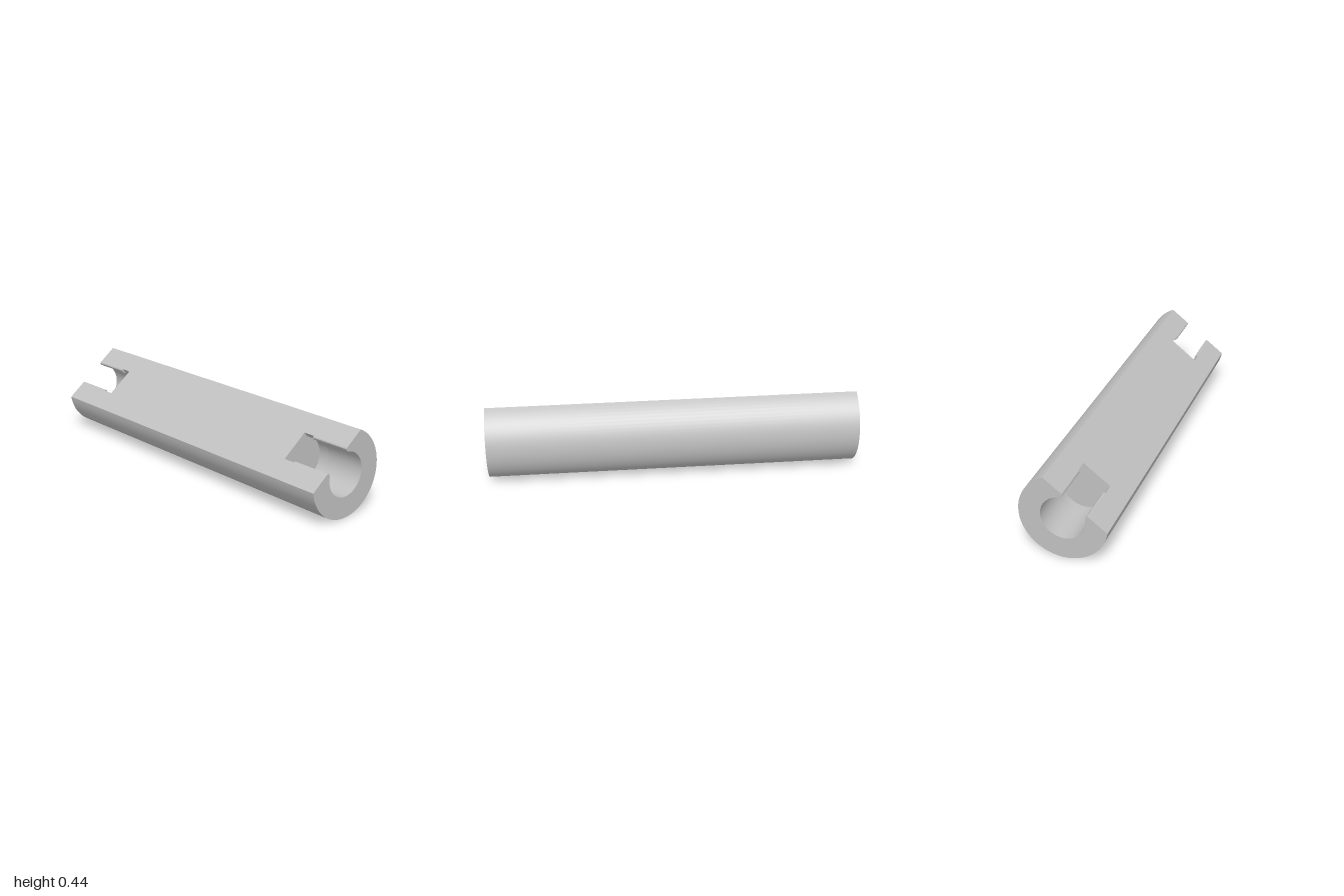
import * as THREE from 'three';
import { toCreasedNormals } from 'three/addons/utils/BufferGeometryUtils.js';

const R = 0.231, FLAT = 0.1095;               // shaft radius, height of the milled flat
const HALF = Math.sqrt(R * R - FLAT * FLAT);  // half width of the flat
const STEP = 0.78, FLOOR = 0.717;             // groove start and pocket end along x
const LIP = 0.083, GROOVE = 0.087;            // half widths of the slot

// Points [z, y] round the underside, from angle a to its mirror image
function arc(r, a, n) {
  return Array.from({ length: n + 1 }, (_, i) => {
    const t = a + (2 * Math.PI - 2 * a) * i / n;
    return [r * Math.sin(t), r * Math.cos(t)];
  });
}

// Adds mirrored edge points at both ends of an arc
function withEdges(edge, points) {
  return [...edge, ...points, ...edge.map(([z, y]) => [-z, y]).reverse()];
}

// Sweeps a profile along x as an open wall
function wall(points, x0, x1) {
  const pos = [], index = [];
  points.forEach(([z, y], i) => {
    pos.push(x0, y, z, x1, y, z);
    if (i) {
      const k = 2 * i - 2;
      index.push(k, k + 1, k + 3, k, k + 3, k + 2);
    }
  });
  const g = new THREE.BufferGeometry();
  g.setAttribute('position', new THREE.Float32BufferAttribute(pos, 3));
  g.setIndex(index);
  return toCreasedNormals(g, 0.6);
}

function plate(points) {
  return new THREE.ShapeGeometry(new THREE.Shape(points.map(p => new THREE.Vector2(p[0], p[1]))));
}

// Flat cross-section at x, facing +x (dir 1) or -x (dir -1)
function section(points, x, dir) {
  return plate(points).rotateY(dir * Math.PI / 2).translate(x, 0, 0);
}

export function createModel() {
  const model = new THREE.Group();
  const steel = new THREE.MeshStandardMaterial({ color: 0xc0c0c0, side: THREE.DoubleSide });
  steel.name = 'grey steel';
  const add = (parent, name, geometry) => {
    const mesh = new THREE.Mesh(geometry, steel);
    mesh.name = name;
    parent.add(mesh);
  };

  const outer = arc(R, Math.acos(FLAT / R), 48);
  const lip = [[LIP, FLAT], [0.0775, 0.106], [0.0755, 0.1], [0.0762, 0.092], [0.079, 0.0868]];
  const bore = withEdges(lip, arc(0.1165, Math.atan2(0.081, 0.0837), 40));
  const groove = withEdges([[GROOVE, FLAT]], arc(0.119, Math.asin(GROOVE / 0.119), 40));

  // Shaft tilted so its flat leans towards the front
  const shaft = new THREE.Group();
  shaft.name = 'shaft';
  shaft.position.set(0, 0.231, 0.001);
  shaft.rotation.x = 0.651;
  model.add(shaft);

  add(shaft, 'roundSurface', wall(outer, 1, -1));

  // Milled flat with a stepped notch at each end
  const notch = [[1, LIP], [STEP, LIP], [STEP, GROOVE], [FLOOR, GROOVE]];
  const rightNotch = withEdgesFlipped(notch);
  const leftNotch = rightNotch.map(([x, z]) => [-x, -z]);
  add(shaft, 'milledFlat', plate([
    [-1, -HALF], [1, -HALF], ...rightNotch, [1, HALF], [-1, HALF], ...leftNotch,
  ]).rotateX(-Math.PI / 2).translate(0, FLAT, 0));

  // Slotted bore at each end
  for (const side of [1, -1]) {
    const end = new THREE.Group();
    end.name = side > 0 ? 'leftSocket' : 'rightSocket';
    if (side < 0) end.rotation.y = Math.PI;
    add(end, 'endFace', section([...outer, ...[...bore].reverse()], 1, 1));
    add(end, 'boreWall', wall(bore, STEP, 1));
    add(end, 'grooveStep', section([...groove, ...[...bore].reverse()], STEP, -1));
    add(end, 'grooveWall', wall(groove, FLOOR, STEP));
    add(end, 'socketFloor', section(groove, FLOOR, 1));
    shaft.add(end);
  }
  return model;
}

// Notch outline from its lower edge round to its upper edge
function withEdgesFlipped(edge) {
  return [...edge.map(([x, z]) => [x, -z]), ...[...edge].reverse()];
}
